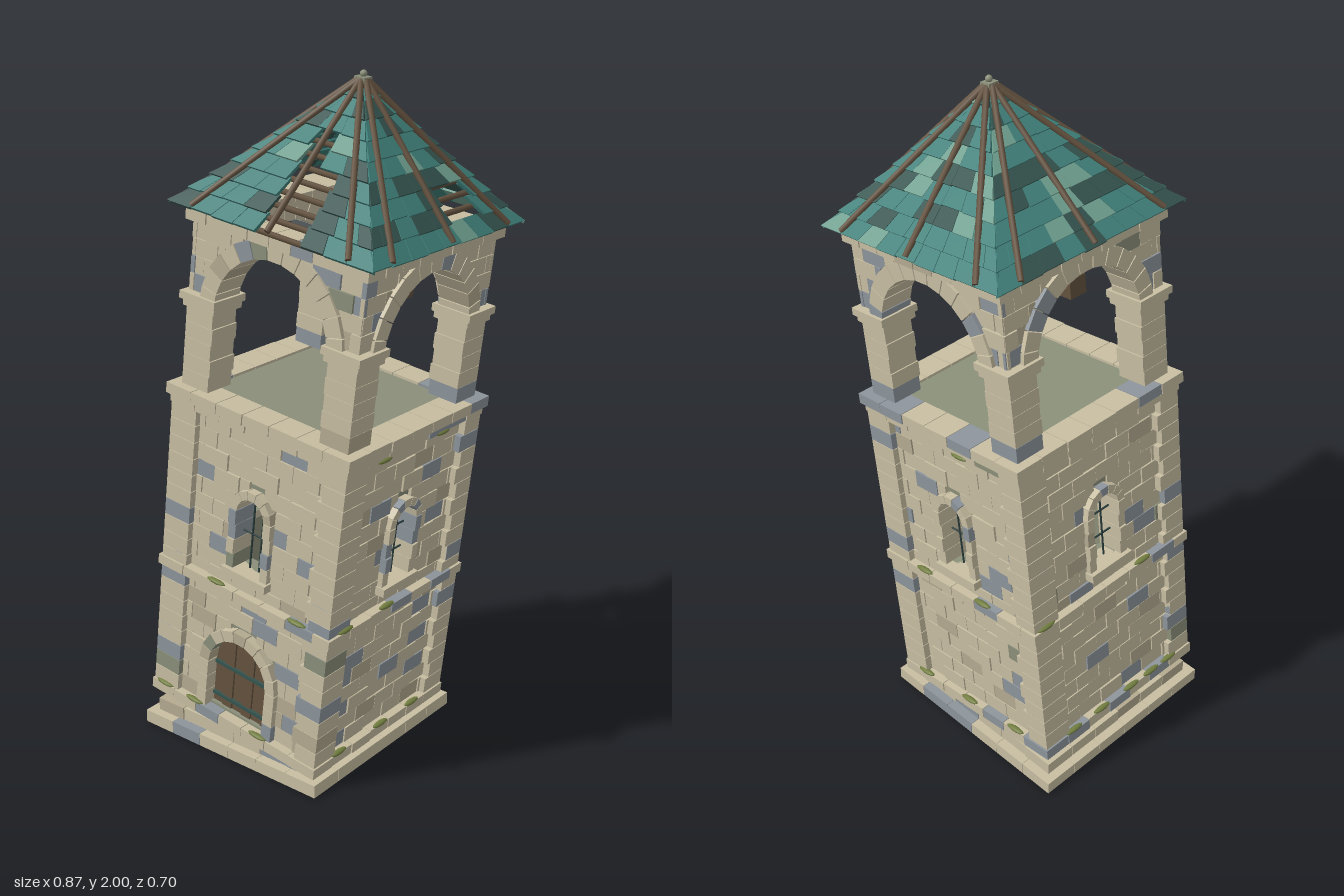
import * as THREE from 'three';
import { mergeGeometries } from 'three/addons/utils/BufferGeometryUtils.js';

const palette = {
  stone: 0xc8bea2, darkStone: 0xb5ab91, blueStone: 0x8d959c, mortar: 0x8b907a, wood: 0x64523f,
  teal: 0x40807a, darkTeal: 0x35544f, lightTeal: 0x6f9f8f, iron: 0x2b3f3e, moss: 0x727e40,
};

// Blue stones on the front and left-hand walls, as across and up
const blueSpots = [
  [[0.154, 0.938], [-0.171, 0.765], [0.119, 0.695], [-0.098, 0.598], [0.18, 0.632], [-0.005, 0.4],
    [0.062, 0.377], [0.154, 0.283], [0.211, 0.119]],
  [[-0.14, 0.8], [0.14, 0.84], [-0.1, 0.655], [0.17, 0.68], [-0.155, 0.338], [-0.155, 0.28], [0.15, 0.36],
    [0.15, 0.28], [-0.165, 0.14], [0.14, 0.14], [0, 0.21], [-0.155, 0.045]],
];
// Moss on the base, string course and parapet ledges of each face
const mossSpots = [
  [[-0.27, -0.15, 0.1], [-0.1, 0.2], []],
  [[-0.2, 0, 0.16], [-0.24, -0.05], [-0.15, 0.12]],
  [[-0.22, -0.02, 0.18], [-0.15, 0.1], [0.08]],
  [[-0.2, -0.08, 0.05, 0.14, 0.22], [-0.27, 0.13], []],
];

export function createModel() {
  const mats = {};
  for (const [name, color] of Object.entries(palette)) {
    mats[name] = new THREE.MeshStandardMaterial({ color });
    mats[name].name = name;
  }
  let seed = 11;
  const rnd = () => (seed = (seed * 16807) % 2147483647) / 2147483647;
  const pickStone = () => {
    const r = rnd();
    return r < 0.78 ? 'stone' : r < 0.84 ? 'darkStone' : r < 0.98 ? 'blueStone' : 'mortar';
  };
  const pickTile = () => { const r = rnd(); return r < 0.55 ? 'teal' : r < 0.86 ? 'darkTeal' : 'lightTeal'; };

  // Geometry is collected per part and colour; k turns it to one of four faces
  const parts = {};
  const add = (part, mat, geo, k = 0) => {
    const g = geo.index ? geo.toNonIndexed() : geo;
    g.deleteAttribute('uv');
    g.rotateY(k * Math.PI / 2);
    ((parts[part] ??= {})[mat] ??= []).push(g);
  };
  // Block from a = across, s = up, d = outward
  const block = (part, mat, k, a0, a1, s0, s1, d0, d1) => add(part, mat,
    new THREE.BoxGeometry(a1 - a0, s1 - s0, d1 - d0).translate((a0 + a1) / 2, (s0 + s1) / 2, (d0 + d1) / 2), k);
  // Six-sided solid: four back corners, then four front corners
  const hexa = (part, mat, k, p) => {
    const quads = [[4, 5, 6, 7], [1, 0, 3, 2], [0, 1, 5, 4], [1, 2, 6, 5], [2, 3, 7, 6], [3, 0, 4, 7]];
    const v = quads.flatMap(([a, b, c, d]) => [a, b, c, a, c, d].flatMap((i) => p[i]));
    const g = new THREE.BufferGeometry();
    g.setAttribute('position', new THREE.Float32BufferAttribute(v, 3));
    g.computeVertexNormals();
    add(part, mat, g, k);
  };
  const rod = (part, mat, k, p, q, r, sides = 6) => {
    const a = new THREE.Vector3(...p), b = new THREE.Vector3(...q), dir = b.clone().sub(a);
    const g = new THREE.CylinderGeometry(r, r, dir.length(), sides);
    g.applyQuaternion(new THREE.Quaternion().setFromUnitVectors(new THREE.Vector3(0, 1, 0), dir.normalize()));
    add(part, mat, g.translate(...a.add(b).multiplyScalar(0.5).toArray()), k);
  };
  const voussoirs = (part, k, r0, r1, spring, d0, d1, n) => {
    for (let i = 0; i < n; i++) {
      const t0 = Math.PI * (1 - (i + 0.03) / n), t1 = Math.PI * (1 - (i + 0.97) / n);
      const pt = (r, t, d) => [r * Math.cos(t), spring + r * Math.sin(t), d];
      const ring = (d) => [pt(r0, t0, d), pt(r0, t1, d), pt(r1, t1, d), pt(r1, t0, d)];
      hexa(part, pickStone(), k, [...ring(d0), ...ring(d1)]);
    }
  };
  // Courses of stones that leave openings clear; half(s) is the blocked half width
  const stones = (part, k, w, s0, s1, rows, d0, d1, half, spots) => {
    const h = (s1 - s0) / rows, len = 0.092;
    for (let i = 0; i < rows; i++) {
      const y = s0 + i * h, hw = half(y + h / 2, k);
      for (let a = -w - (i % 2) * len / 2; a < w; a += len) {
        const l = Math.max(a, -w), r = Math.min(a + len, w);
        for (const [x0, x1] of hw ? [[l, Math.min(r, -hw)], [Math.max(l, hw), r]] : [[l, r]]) {
          if (x1 - x0 <= 0.01) continue;
          const blue = spots?.some(([u, s]) => u >= x0 && u < x1 && s >= y && s < y + h);
          const mat = blue ? 'blueStone' : spots ? (rnd() < 0.92 ? 'stone' : 'darkStone') : pickStone();
          block(part, mat, k, x0 + 0.001, x1 - 0.001, y + 0.001, y + h - 0.001, d0, d1 + rnd() * 0.006);
        }
      }
    }
  };
  const band = (part, s0, s1, half, depth, n) => {
    for (let k = 0; k < 4; k++) for (let i = 0; i < n; i++) {
      const w = (2 * half - depth) / n, a = -half + i * w;
      block(part, pickStone(), k, a + 0.001, a + w - 0.001, s0, s1, half - depth, half - rnd() * 0.004);
    }
  };
  const archHalf = (r, s0, spring) => (s) => s < s0 || s > spring + r ? 0
    : s < spring ? r : Math.sqrt(r * r - (s - spring) ** 2);
  const archPath = (r, s0, spring) => new THREE.Path().moveTo(-r, s0).lineTo(r, s0).lineTo(r, spring)
    .absarc(0, spring, r, 0, Math.PI, false).lineTo(-r, s0);

  // Hollow lower walls with window and door openings
  const winHalf = archHalf(0.072, 0.51, 0.72), doorHalf = archHalf(0.138, 0, 0.19);
  block('towerBase', 'mortar', 0, -0.3, 0.3, 0.002, 0.03, -0.3, 0.3);
  band('towerBase', 0, 0.033, 0.32, 0.1, 6);
  for (let k = 0; k < 4; k++) {
    const wall = new THREE.Shape();
    wall.moveTo(-0.28, 0.03).lineTo(0.28, 0.03).lineTo(0.28, 0.99).lineTo(-0.28, 0.99);
    wall.holes.push(archPath(0.055, 0.535, 0.72));
    if (k === 0) wall.holes.push(archPath(0.115, 0.04, 0.19));
    add('walls', 'mortar', new THREE.ExtrudeGeometry(wall, { depth: 0.06, bevelEnabled: false }).translate(0, 0, 0.225), k);
    stones('walls', k, 0.245, 0.033, 0.97, 18, 0.28, 0.291,
      (s, f) => winHalf(s) || (f === 0 ? doorHalf(s) : 0), blueSpots[k]);
    // Window surround, sill and bars
    voussoirs('windows', k, 0.05, 0.076, 0.72, 0.225, 0.312, 7);
    for (const side of [-1, 1]) for (let i = 0; i < 4; i++) {
      const c = side * 0.063, y = 0.535 + i * 0.04625;
      block('windows', pickStone(), k, c - 0.013, c + 0.013, y, y + 0.045, 0.225, 0.308 + (i % 2) * 0.005);
    }
    block('windows', 'stone', k, -0.082, 0.082, 0.51, 0.535, 0.225, 0.322);
    for (const a of [-0.017, 0.017]) rod('windowBars', 'iron', k, [a, 0.53, 0.27], [a, 0.768, 0.27], 0.003);
    for (const y of k % 2 ? [0.61, 0.69] : [0.645]) rod('windowBars', 'iron', k, [-0.055, y, 0.27], [0.055, y, 0.27], 0.003);
    // Corner stones, alternately long and short
    for (let i = 0; i < 18; i++) {
      const y = 0.033 + i * 0.052, l = 0.075 + ((i + k) % 2) * 0.015, m = pickStone();
      block('cornerStones', m, k, 0.315 - l, 0.314, y + 0.001, y + 0.051, 0.22, 0.314);
      block('cornerStones', m, k, -0.313, -0.313 + l, y + 0.001, y + 0.051, 0.24, 0.313);
    }
  }
  band('stringCourse', 0.438, 0.468, 0.323, 0.06, 6);
  band('parapet', 0.965, 0.99, 0.318, 0.08, 6);
  band('parapet', 0.99, 1.022, 0.328, 0.09, 6);
  block('deck', 'mortar', 0, -0.255, 0.255, 0.985, 1.014, -0.255, 0.255);

  // Arched plank door with iron straps
  for (let i = 0; i < 6; i++) {
    const a = -0.111 + i * 0.037, mid = Math.abs(a + 0.0185);
    block('door', 'wood', 0, a + 0.001, a + 0.036, 0.033, 0.19 + Math.sqrt(0.118 ** 2 - mid ** 2), 0.25, 0.272 + (i % 2) * 0.004);
  }
  for (const s of [0.065, 0.175]) block('door', 'darkTeal', 0, -0.108, 0.108, s, s + 0.01, 0.27, 0.281);
  voussoirs('doorArch', 0, 0.11, 0.145, 0.19, 0.225, 0.312, 9);
  for (const side of [-1, 1]) for (let i = 0; i < 3; i++) {
    const c = side * 0.1275, y = 0.033 + i * 0.0523;
    block('doorArch', pickStone(), 0, c - 0.0175, c + 0.0175, y, y + 0.051, 0.225, 0.312);
  }

  // Belfry: pillars, capitals, arches
  for (let k = 0; k < 4; k++) {
    for (let i = 0; i < 5; i++) {
      const d = 0.2 - (i % 2) * 0.003, y = 1.022 + i * 0.047;
      block('pillars', pickStone(), k, d, 0.296, y, y + 0.046, d, 0.296);
    }
    block('capitals', 'stone', k, 0.19, 0.304, 1.255, 1.275, 0.19, 0.304);
    block('capitals', 'stone', k, 0.184, 0.312, 1.275, 1.297, 0.184, 0.312);
    const arch = new THREE.Shape();
    arch.moveTo(-0.286, 1.27).lineTo(-0.2, 1.27).absarc(0, 1.27, 0.2, Math.PI, 0, true);
    arch.lineTo(0.286, 1.27).lineTo(0.286, 1.5).lineTo(-0.286, 1.5);
    add('arches', 'stone', new THREE.ExtrudeGeometry(arch, { depth: 0.08, bevelEnabled: false, curveSegments: 20 }).translate(0, 0, 0.206), k);
    voussoirs('arches', k, 0.195, 0.248, 1.27, 0.2, 0.302, 13);
    stones('arches', k, 0.294, 1.3, 1.5, 4, 0.28, 0.289, archHalf(0.235, 1.27, 1.27));
  }
  band('cornice', 1.5, 1.535, 0.31, 0.11, 7);
  block('bellBeam', 'wood', 0, -0.25, 0.23, 1.37, 1.425, -0.013, 0.045);

  // Pyramid roof: tapering tiles, two holes showing battens, rafters on top
  const R = 0.336, H = 0.357, S = 1.543, L = Math.hypot(R, H), rows = 9;
  const onRoof = (f, t, lift) => [f * R * (1 - t), S + t * H + lift * R / L, R * (1 - t) + lift * H / L];
  const inHole = (k, a, t) => k === 0 ? t < 0.64 && a > -0.055 && a < 0.02 + 0.13 * (1 - t / 0.64)
    : k === 1 && t > 0.12 && t < 0.34 && a > 0.02 && a < 0.17;
  for (let k = 0; k < 4; k++) {
    for (let i = 0; i < rows; i++) {
      const t0 = i / rows, t1 = Math.min((i + 1.12) / rows, 0.99), tm = (i + 0.5) / rows;
      const n = Math.max(2, Math.round(2 * R * (1 - t0) / 0.072)), step = 2 / n;
      for (let j = 0; j <= n; j++) {
        const f0 = Math.max(-1, -1 + (j - 0.5 * (i % 2)) * step), f1 = Math.min(1, -1 + (j + 1 - 0.5 * (i % 2)) * step);
        if (f1 - f0 < 0.01 || inHole(k, (f0 + f1) / 2 * R * (1 - tm), tm)) continue;
        const e0 = f0 === -1 ? -1.02 : f0 + 0.003, e1 = f1 === 1 ? 1.02 : f1 - 0.003, drop = t0 - rnd() * 0.008;
        const face = (lo, hi) => [onRoof(e0, drop, lo), onRoof(e1, drop, lo), onRoof(e1, t1, hi), onRoof(e0, t1, hi)];
        hexa('roofTiles', pickTile(), k, [...face(0.001, -0.006), ...face(0.012, 0.003)]);
      }
    }
    for (const f of [-0.79, 0, 0.79]) rod('rafters', 'wood', k, onRoof(f, 0.01, 0.012), onRoof(f, 0.985, 0.012), 0.0085, 8);
  }
  for (let i = 0; i < 8; i++) {
    const t = 0.02 + i * 0.083, w = 1 / (R * (1 - t));
    rod('battens', 'wood', 0, onRoof(-0.09 * w, t, -0.008), onRoof(Math.min(0.19 * w, 0.9), t, -0.008), 0.008);
  }
  for (const t of [0.1, 0.18, 0.26, 0.34]) rod('battens', 'wood', 1, onRoof(0, t, -0.008), onRoof(0.9, t, -0.008), 0.008);
  block('finial', 'mortar', 0, -0.017, 0.017, 1.888, 1.912, -0.017, 0.017);
  add('finial', 'mortar', new THREE.SphereGeometry(0.01, 10, 8).translate(0, 1.919, 0));

  // Moss tufts on the ledges
  const ledges = [[0.035, 0.314], [0.47, 0.315], [0.966, 0.314]];
  mossSpots.forEach((face, k) => face.forEach((list, i) => list.forEach((a) => add('moss', 'moss',
    new THREE.SphereGeometry(1, 10, 6).scale(0.034, 0.007, 0.01).translate(a, ...ledges[i]), k))));

  const model = new THREE.Group();
  model.name = 'leaningTower';
  const build = (name) => {
    const parent = new THREE.Group();
    parent.name = name;
    for (const [part, byMat] of Object.entries(parts)) {
      const group = new THREE.Group();
      group.name = part;
      for (const [mat, list] of Object.entries(byMat)) {
        const mesh = new THREE.Mesh(mergeGeometries(list), mats[mat]);
        mesh.name = part + '_' + mat;
        group.add(mesh);
      }
      parent.add(group);
      delete parts[part];
    }
    model.add(parent);
    return parent;
  };
  const tower = build('tower');
  tower.position.set(-0.1, 0.085, 0);
  tower.rotation.z = -0.122;

  // Level plinth of two courses
  for (let i = 0; i < 36; i++) {
    const x = -0.333 + (i % 6) * 0.111, z = -0.333 + Math.floor(i / 6) * 0.111;
    block('lowerCourse', pickStone(), 0, x + 0.0005, x + 0.1105, 0, 0.04, z + 0.0005, z + 0.1105);
  }
  band('upperCourse', 0.04, 0.08, 0.305, 0.1, 5);
  block('upperCourse', 'mortar', 0, -0.21, 0.21, 0.038, 0.079, -0.21, 0.21);
  build('plinth').position.x = -0.1;
  return model;
}
